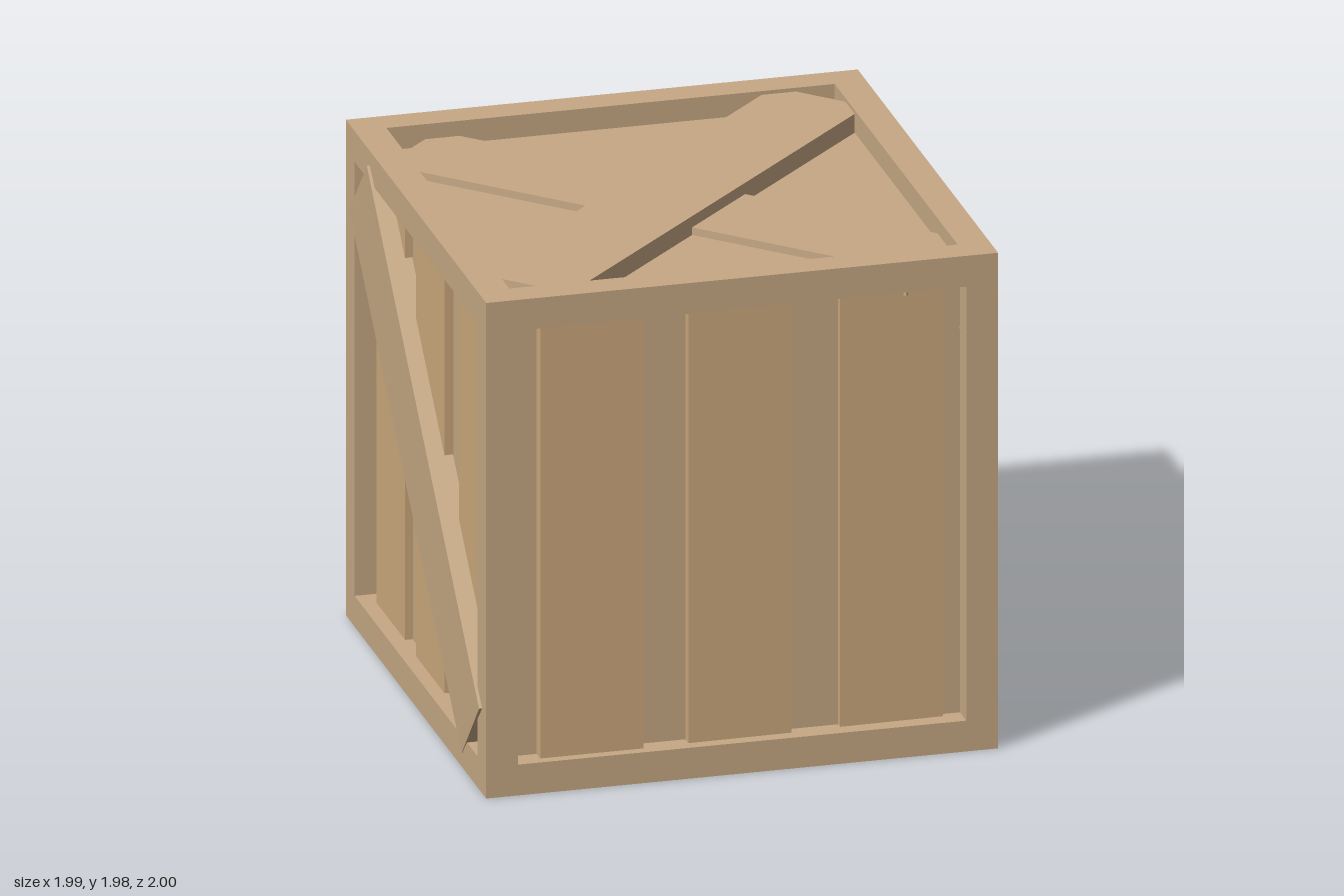
import * as THREE from 'three';

// Crate body is a cube with a 1.98 side; some boards stick out slightly on the back and left.
const SIDE = 1.98, H = SIDE / 2, BEAM = 0.123;
const BOARD = 0.4, BRACE_LENGTH = 2.24;

const frameMat = new THREE.MeshStandardMaterial({ color: 0xc6a884 });
const plankMat = new THREE.MeshStandardMaterial({ color: 0xcca97c });

function box(name, size, pos, mat) {
  const mesh = new THREE.Mesh(new THREE.BoxGeometry(...size), mat);
  mesh.name = name;
  mesh.position.set(...pos);
  return mesh;
}

// Face group: local +z points out of the cube, local z = 0 is the outer face plane.
function face(name, rx, ry) {
  const g = new THREE.Group();
  g.name = name;
  g.rotation.set(rx, ry, 0);
  const inner = new THREE.Group();
  inner.position.z = H;
  g.add(inner);
  return { g, inner };
}

// Three upright boards; each entry is [centre, recess, yaw].
function addPlanks(parent, list) {
  for (const [x, recess, yaw] of list) {
    const t = 0.09;
    const p = box('plank', [BOARD, SIDE - 2 * BEAM + 0.002, t], [x, 0, -recess - t / 2], plankMat);
    p.rotation.y = yaw;
    parent.add(p);
  }
}

// Diagonal board; tilt turns it about its own length.
function addBrace(parent, angle, recess, tilt = 0, thickness = 0.1) {
  const b = box('brace', [BRACE_LENGTH, BOARD, thickness], [0, 0, -recess - thickness / 2], frameMat);
  b.rotation.set(tilt, 0, angle, 'ZXY');
  parent.add(b);
}

export function createModel() {
  const model = new THREE.Group();
  model.name = 'crate';
  const body = new THREE.Group();
  body.name = 'crateBody';
  body.position.set(0.01, H, 0.01);
  model.add(body);

  // Twelve frame beams: four along each axis
  const o = H - BEAM / 2, inner = SIDE - 2 * BEAM;
  for (const a of [-o, o]) {
    for (const b of [-o, o]) {
      body.add(box('frameUpright', [BEAM, SIDE, BEAM], [a, 0, b], frameMat));
      body.add(box('frameCrossRail', [inner, BEAM, BEAM], [0, a, b], frameMat));
      body.add(box('frameSideRail', [BEAM, BEAM, inner], [a, b, 0], frameMat));
    }
  }

  // Recessed inner panels
  body.add(box('innerPanels', [1.8, 1.8, 1.8], [0, 0, 0], frameMat));

  // Front boards
  const front = face('frontFace', 0, 0);
  addPlanks(front.inner, [[-0.57, 0.04, 0], [0.005, 0.05, 0.01], [0.595, 0.065, 0.015]]);

  // Back boards, one standing slightly proud of the frame
  const back = face('backFace', 0, Math.PI);
  addPlanks(back.inner, [[-0.6, -0.008, -0.045], [0, 0.003, 0], [0.575, 0.025, 0.01]]);

  // Left-over side with boards and a single brace
  const plankSide = face('plankSide', 0, -Math.PI / 2);
  addPlanks(plankSide.inner, [[-0.575, 0.06, 0], [0, 0.055, 0], [0.59, 0.06, 0]]);
  addBrace(plankSide.inner, -Math.PI / 4, -0.007, 0.025);

  // Side with crossed braces, the lower one twisted
  const crossSide = face('crossSide', 0, Math.PI / 2);
  addBrace(crossSide.inner, Math.PI / 4, 0.015);
  addBrace(crossSide.inner, -0.74, 0.04, -0.14);

  // Top with crossed braces at two levels
  const top = face('topFace', -Math.PI / 2, 0);
  addBrace(top.inner, Math.PI / 4, 0.015);
  addBrace(top.inner, -Math.PI / 4, 0.06);

  for (const f of [front, back, plankSide, crossSide, top]) body.add(f.g);
  return model;
}
